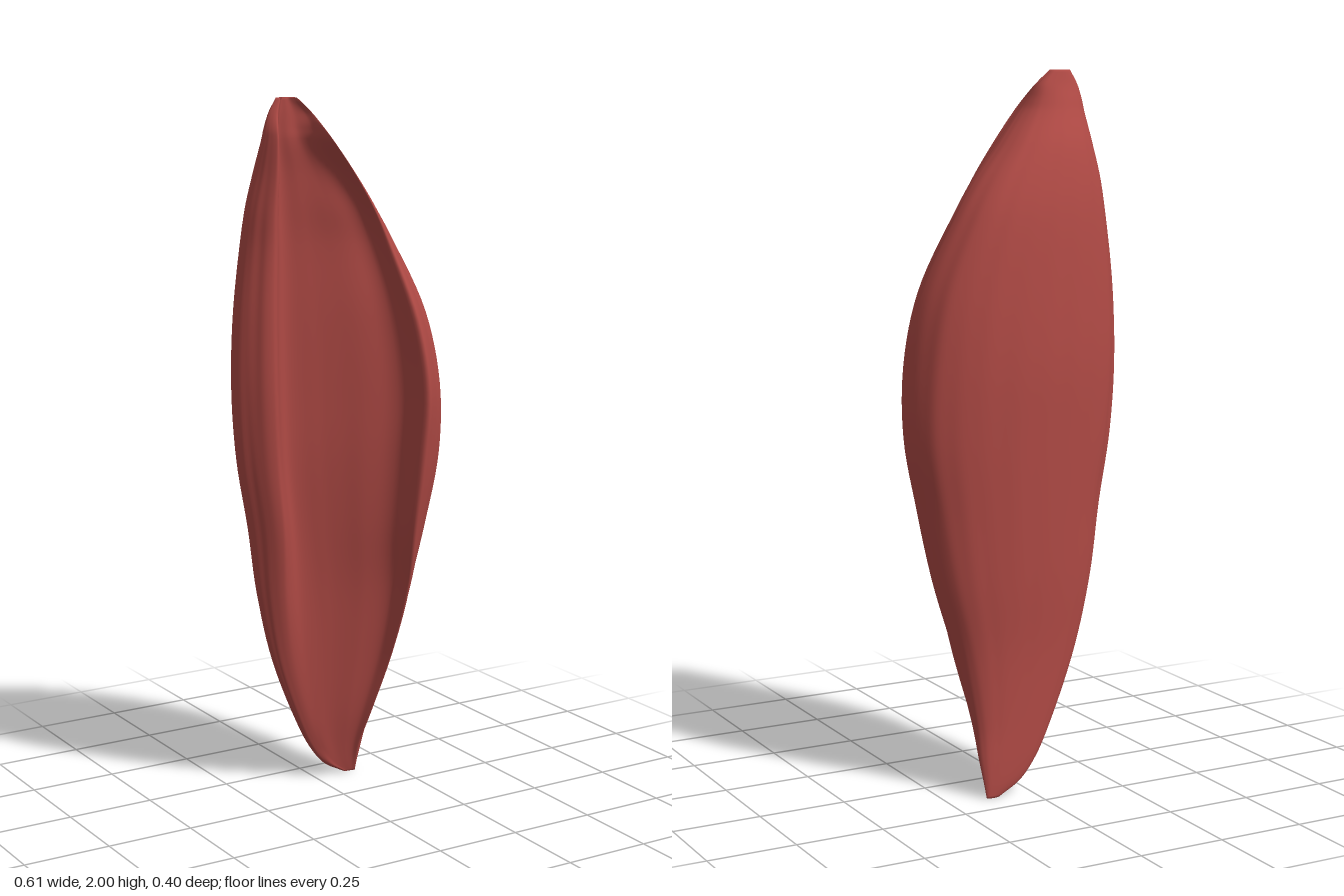
import * as THREE from 'three';

// Levels from bottom to top:
// y, left x, right x, flap edge x, back z, flap edge z, hollow z, left lobe z
const LEVELS = [
  [0.00, 0.10, 0.138, 0.125, -0.168, -0.155, -0.158, -0.158],
  [0.04, 0.03, 0.143, 0.12, -0.172, -0.14, -0.15, -0.15],
  [0.10, -0.02, 0.15, 0.115, -0.173, -0.115, -0.14, -0.145],
  [0.20, -0.075, 0.157, 0.125, -0.172, -0.07, -0.125, -0.13],
  [0.40, -0.16, 0.19, 0.155, -0.173, 0.00, -0.10, -0.10],
  [0.60, -0.215, 0.24, 0.165, -0.183, 0.065, -0.08, -0.06],
  [0.80, -0.25, 0.275, 0.145, -0.19, 0.13, -0.065, -0.02],
  [1.00, -0.288, 0.303, 0.14, -0.195, 0.175, -0.055, 0.00],
  [1.20, -0.305, 0.292, 0.14, -0.197, 0.198, -0.05, 0.015],
  [1.40, -0.303, 0.248, 0.115, -0.185, 0.178, -0.045, 0.02],
  [1.60, -0.285, 0.155, 0.065, -0.163, 0.12, -0.04, 0.02],
  [1.70, -0.275, 0.09, 0.025, -0.142, 0.105, -0.035, 0.025],
  [1.80, -0.257, 0.005, -0.035, -0.11, 0.10, -0.027, 0.03],
  [1.89, -0.244, -0.07, -0.10, -0.065, 0.095, -0.015, 0.03],
  [1.92, -0.24, -0.088, -0.112, -0.052, 0.07, -0.012, 0.025],
  [1.96, -0.228, -0.11, -0.125, -0.035, 0.025, -0.008, 0.01],
  [2.00, -0.205, -0.15, -0.16, -0.022, 0.005, -0.006, 0.00],
];

const mix = (a, b, t) => a + (b - a) * t;

// Crescent cross-section: left lobe, round the back, flap, then the sloping hollow
function section([y, xl, xr, xe, zb, zf, zi, zl]) {
  const w = xr - xl;
  const rise = Math.min(1, (2 - y) / 0.3);
  return [
    [xl + 0.13 * w, zl],
    [xl + 0.04 * w, mix(zb, zl, 0.8)],
    [xl, mix(zb, zl, 0.54)],
    [xl + 0.06 * w, mix(zb, zl, 0.27)],
    [xl + 0.22 * w, mix(zb, zl, 0.08)],
    [xl + 0.48 * w, zb],
    [xl + 0.75 * w, mix(zb, zf, 0.07)],
    [xl + 0.93 * w, mix(zb, zf, 0.23)],
    [xr, mix(zb, zf, 0.5)],
    [mix(xe, xr, 0.85), mix(zb, zf, 0.69)],
    [mix(xe, xr, 0.53), mix(zb, zf, 0.85)],
    [xe + 0.01, zf],
    [mix(xl, xe, 0.97), mix(zi, zf, 0.4 + 0.2 * rise)],
    [mix(xl, xe, 0.76), mix(zi, zf, 0.36 * rise)],
    [mix(xl, xe, 0.53), mix(zi, zf, 0.12 * rise)],
    [mix(xl, xe, 0.32), zi],
  ].map(([x, z]) => new THREE.Vector3(x, y, z));
}

function muscleGeometry(rows, cols) {
  const sections = LEVELS.map(section);
  const rails = sections[0].map((_, k) => new THREE.CatmullRomCurve3(sections.map((s) => s[k])));
  const pos = [], index = [];
  for (let r = 0; r <= rows; r++) {
    const t = r / rows;
    const ring = new THREE.CatmullRomCurve3(rails.map((c) => c.getPoint(t)), true);
    const centre = new THREE.Vector3();
    const pts = [];
    for (let i = 0; i < cols; i++) {
      const p = ring.getPoint(i / cols);
      centre.addScaledVector(p, 1 / cols);
      pts.push(p);
    }
    pts.forEach((p, i) => {
      // Shallow fibres that run lengthwise with a slight twist
      const a = (i / cols) * Math.PI * 2;
      const f = 1 + 0.005 * Math.sin(t * Math.PI) * (Math.sin(17 * a + 9 * t) + 0.6 * Math.sin(29 * a - 7 * t));
      pos.push(mix(centre.x, p.x, f), p.y, mix(centre.z, p.z, f));
    });
    for (let i = 0; i < cols && r < rows; i++) {
      const a = r * cols + i, b = r * cols + (i + 1) % cols;
      index.push(a, a + cols, b, b, a + cols, b + cols);
    }
  }
  // Close both ends
  for (const top of [false, true]) {
    const start = top ? rows * cols : 0, c = pos.length / 3;
    let x = 0, y = 0, z = 0;
    for (let i = 0; i < cols; i++) {
      x += pos[(start + i) * 3] / cols;
      y += pos[(start + i) * 3 + 1] / cols;
      z += pos[(start + i) * 3 + 2] / cols;
    }
    pos.push(x, y, z);
    for (let i = 0; i < cols; i++) {
      const a = start + i, b = start + (i + 1) % cols;
      if (top) index.push(c, b, a);
      else index.push(c, a, b);
    }
  }
  const g = new THREE.BufferGeometry();
  g.setAttribute('position', new THREE.Float32BufferAttribute(pos, 3));
  g.setIndex(index);
  g.computeVertexNormals();
  return g;
}

export function createModel() {
  const group = new THREE.Group();
  group.name = 'muscle';
  const red = new THREE.MeshStandardMaterial({ color: 0xb04a45, side: THREE.DoubleSide });
  red.name = 'muscle red';
  const belly = new THREE.Mesh(muscleGeometry(96, 160), red);
  belly.name = 'muscleBelly';
  group.add(belly);
  return group;
}
